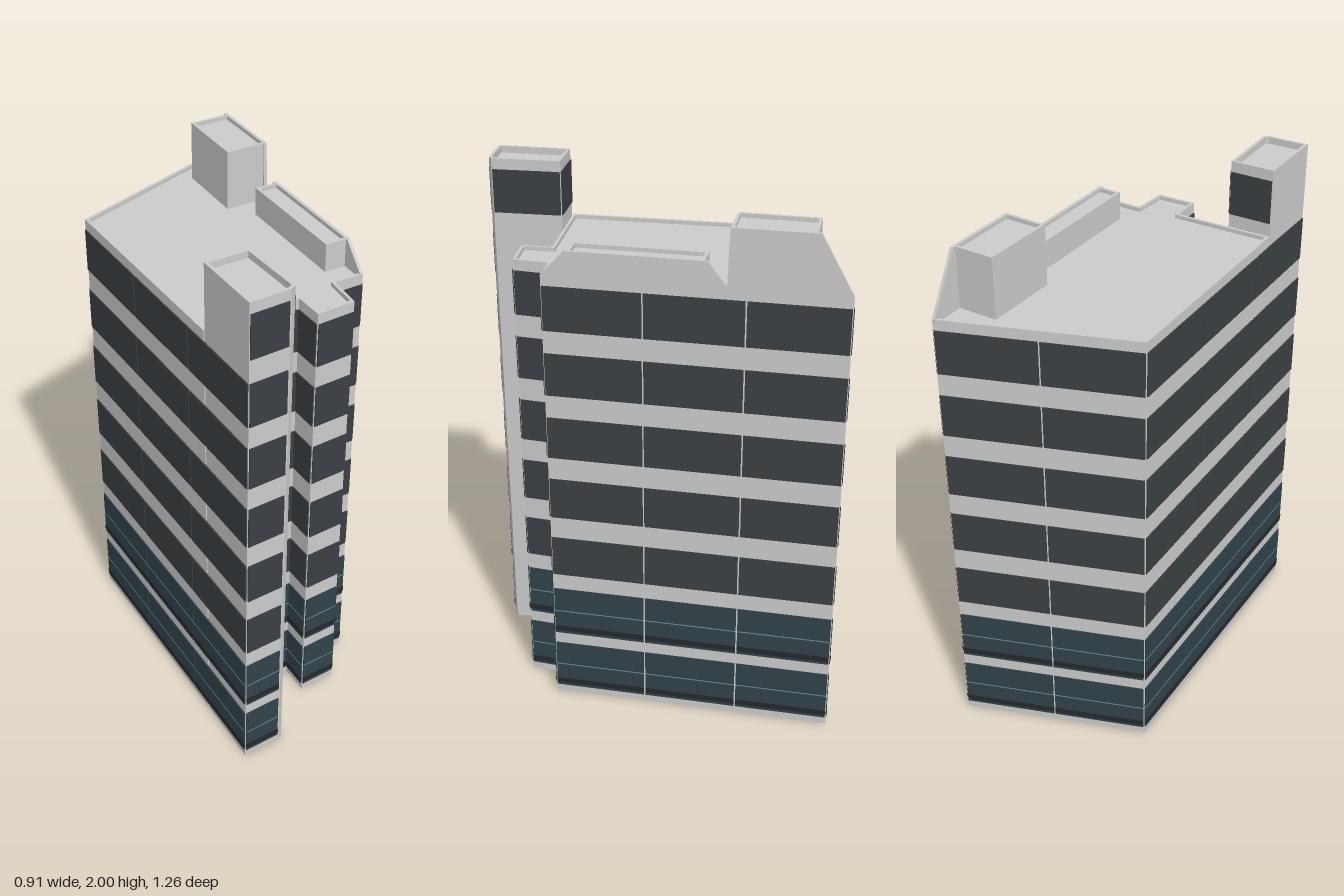
import * as THREE from 'three';

const WALL = new THREE.MeshStandardMaterial({ color: 0xcccccc, flatShading: true });
const mat = (color) => new THREE.MeshStandardMaterial({ color, flatShading: true });
const GLASS = mat(0x3b4044), LOW_GLASS = mat(0x314349), SILL = mat(0x25292c), BAR = mat(0x6f8a92);

// Plan corners [x, z], running left to right along the front, then round the sides
const MAIN = [[-0.4, 0.328], [-0.04, 0.385], [-0.06, 0.495], [0.085, 0.515], [0.12, 0.39],
  [0.23, 0.41], [0.445, -0.625], [-0.25, -0.51]];
const TOWER = [[-0.45, 0.6], [-0.3, 0.622], [-0.278, 0.612], [-0.238, 0.36], [-0.4, 0.333]];
const PENTHOUSE = [[0.205, -0.255], [0.36, -0.223], [0.419, -0.5], [0.265, -0.53]];
const PLANT_ROOM = [[0.16, 0.3], [0.25, 0.318], [0.344, -0.141], [0.255, -0.16]];

// Plan moved inwards by d with mitred corners
function inset(pts, d) {
  const n = pts.length;
  return pts.map((p, i) => {
    const a = pts[(i + n - 1) % n], b = pts[(i + 1) % n];
    const u = new THREE.Vector2(p[0] - a[0], p[1] - a[1]).normalize();
    const v = new THREE.Vector2(b[0] - p[0], b[1] - p[1]).normalize();
    const k = d / (1 + u.dot(v));
    return [p[0] + (u.y + v.y) * k, p[1] - (u.x + v.x) * k];
  });
}

const toVectors = (pts) => pts.map(([x, z]) => new THREE.Vector2(x, -z));

function prism(name, pts, y0, y1, hole) {
  const shape = new THREE.Shape(toVectors(pts));
  if (hole) shape.holes.push(new THREE.Path(toVectors(hole)));
  const geo = new THREE.ExtrudeGeometry(shape, { depth: y1 - y0, bevelEnabled: false });
  geo.rotateX(-Math.PI / 2).translate(0, y0, 0);
  const mesh = new THREE.Mesh(geo, WALL);
  mesh.name = name;
  return mesh;
}

// Solid block with a raised rim round its sunken roof
function block(name, pts, y0, y1, recess) {
  const g = new THREE.Group();
  g.name = name;
  g.add(prism(name + 'Body', pts, y0, y1 - recess));
  g.add(prism(name + 'Rim', pts, y1 - recess, y1, inset(pts, 0.011)));
  return g;
}

// Group lying on a wall edge: x runs from a to b, z points outwards
function edgeFrame(name, a, b) {
  const g = new THREE.Group();
  g.name = name;
  const dx = b[0] - a[0], dz = b[1] - a[1];
  g.position.set(a[0], 0, a[1]);
  g.rotation.y = Math.atan2(-dz, dx);
  g.userData.length = Math.hypot(dx, dz);
  return g;
}

function slab(parent, name, material, x0, x1, y0, y1, proud) {
  const mesh = new THREE.Mesh(new THREE.BoxGeometry(x1 - x0, y1 - y0, proud * 2), material);
  mesh.position.set((x0 + x1) / 2, (y0 + y1) / 2, 0);
  mesh.name = name;
  parent.add(mesh);
}

// Window bands, bottom and top of each floor
const FLOORS = [[0.03, 0.232], [0.28, 0.482], [0.548, 0.71], [0.798, 0.96],
  [1.048, 1.21], [1.298, 1.46], [1.545, 1.71], [1.798, 1.96]];

function windows(name, a, b, panes, first = 0, last = 6) {
  const g = edgeFrame(name, a, b);
  const w = g.userData.length / panes, gap = 0.003;
  for (let f = first; f <= last; f++) {
    const [y0, y1] = FLOORS[f];
    for (let i = 0; i < panes; i++) {
      const x0 = i * w + gap, x1 = (i + 1) * w - gap;
      slab(g, 'pane', f < 2 ? LOW_GLASS : GLASS, x0, x1, y0, y1, 0.004);
      if (f < 2) { // double-height glazing with a crossbar and a dark sill
        slab(g, 'crossbar', BAR, x0, x1, y0 + 0.1, y0 + 0.104, 0.005);
        slab(g, 'sill', SILL, x0, x1, y0 + 0.012, y0 + 0.034, 0.006);
      }
    }
  }
  return g;
}

export function createModel() {
  const model = new THREE.Group();
  model.name = 'officeBuilding';

  // Masses
  model.add(block('mainBlock', MAIN, 0, 1.75, 0.015));
  model.add(block('cornerTower', TOWER, 0, 2, 0.025));
  model.add(block('penthouse', PENTHOUSE, 1.73, 1.96, 0.015));
  model.add(block('plantRoom', PLANT_ROOM, 1.73, 1.84, 0.015));

  // Facade wall rising above the roof in front of the rooftop rooms
  const front = MAIN[5], back = MAIN[6];
  const screen = edgeFrame('roofScreen', front, back);
  const outline = [[0.41, 1.74], [0.41, 1.75], [0.325, 1.84], [-0.15, 1.84], [-0.215, 1.755],
    [-0.222, 1.96], [-0.51, 1.96], [-0.625, 1.75], [-0.625, 1.74]];
  const shape = new THREE.Shape(outline.map(([z, y]) => new THREE.Vector2(
    (front[1] - z) / (front[1] - back[1]) * screen.userData.length, y)));
  const screenWall = new THREE.Mesh(
    new THREE.ExtrudeGeometry(shape, { depth: 0.012, bevelEnabled: false }), WALL);
  screenWall.position.z = -0.0115;
  screenWall.name = 'roofScreenWall';
  screen.add(screenWall);
  model.add(screen);

  // Windows on the main block
  model.add(windows('recessWindows', TOWER[3], [-0.13, 0.371], 1));
  model.add(windows('recessInnerWindows', [-0.13, 0.371], MAIN[1], 1));
  model.add(windows('bayInnerWindows', MAIN[1], MAIN[2], 1));
  model.add(windows('bayFrontWindows', MAIN[2], MAIN[3], 1));
  model.add(windows('bayOuterWindows', MAIN[3], MAIN[4], 1));
  model.add(windows('frontCornerWindows', MAIN[4], MAIN[5], 1));
  model.add(windows('leftSideWindows', MAIN[5], MAIN[6], 3));
  model.add(windows('backWindows', MAIN[6], MAIN[7], 2));
  model.add(windows('rightSideWindows', MAIN[7], TOWER[0], 3));

  // Windows on the tower
  model.add(windows('towerFrontWindows', TOWER[0], [-0.305, 0.621], 1, 0, 7));
  model.add(windows('towerTopSideWindow', TOWER[2], TOWER[3], 1, 7, 7));
  model.add(windows('towerTopBackWindow', TOWER[3], TOWER[4], 1, 7, 7));

  return model;
}
